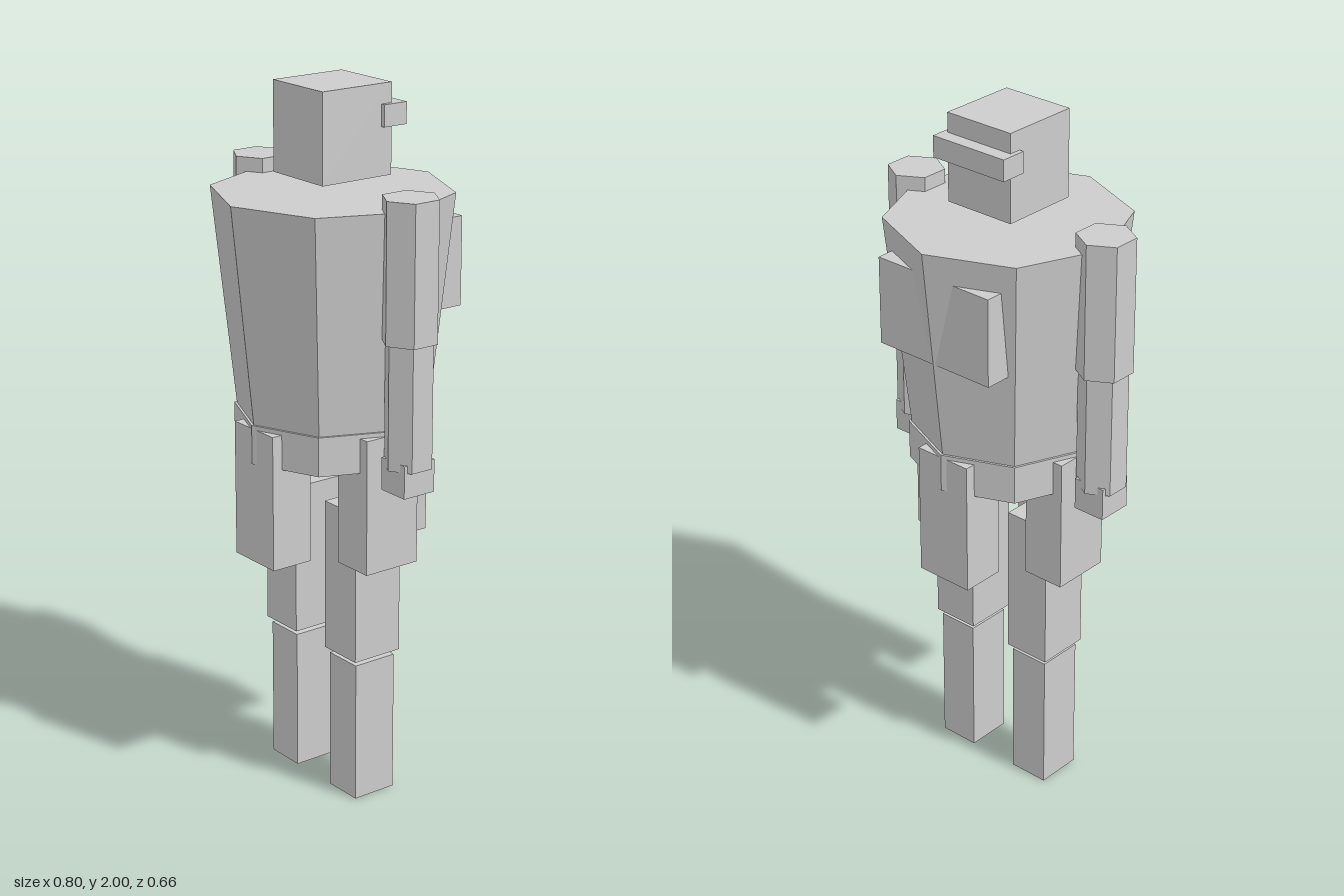
import * as THREE from 'three';

export function createModel() {
  const model = new THREE.Group();
  model.name = 'blockyRobot';
  const lightGrey = new THREE.MeshStandardMaterial({ color: 0xcccccc });
  lightGrey.name = 'lightGrey';

  function add(name, geometry, x, y, z) {
    const mesh = new THREE.Mesh(geometry, lightGrey);
    mesh.name = name;
    mesh.position.set(x, y, z);
    model.add(mesh);
    return mesh;
  }

  // Box given by its centre in x and z, its size, and its bottom and top heights
  function box(name, x, z, width, depth, bottom, top) {
    add(name, new THREE.BoxGeometry(width, top - bottom, depth), x, (bottom + top) / 2, z);
  }

  // Faceted prism with a corner pointing forward
  function prism(name, x, sides, topRadius, bottomRadius, bottom, top) {
    const faceted = new THREE.CylinderGeometry(topRadius, bottomRadius, top - bottom, sides).toNonIndexed();
    faceted.computeVertexNormals();
    add(name, faceted, x, (bottom + top) / 2, 0);
  }

  // Head with a band around its back
  box('head', 0, 0, 0.216, 0.228, 1.752, 2);
  box('headBand', 0, -0.117, 0.242, 0.075, 1.885, 1.945);

  // Tapered octagonal torso, waist and the pack let into the back
  prism('torso', 0, 8, 0.331, 0.265, 1.1, 1.71);
  prism('waist', 0, 8, 0.272, 0.272, 0.99, 1.1);
  box('backPack', 0, -0.222, 0.382, 0.142, 1.38, 1.63);

  // Four hanging skirt plates
  for (const side of [-1, 1]) {
    box(side > 0 ? 'frontSkirtPlate' : 'backSkirtPlate', 0, side * 0.203, 0.174, 0.126, 0.705, 1.088);
    box(side > 0 ? 'leftSkirtPlate' : 'rightSkirtPlate', side * 0.203, 0, 0.126, 0.174, 0.705, 1.088);
  }

  // Arms and legs, mirrored
  for (const [label, side] of [['left', 1], ['right', -1]]) {
    const armX = side * 0.331;
    prism(label + 'UpperArm', armX, 6, 0.079, 0.079, 1.365, 1.75);
    prism(label + 'Forearm', armX, 6, 0.068, 0.068, 1.02, 1.365);
    box(label + 'Hand', armX, 0, 0.096, 0.102, 0.95, 1.042);

    const legX = side * 0.136;
    box(label + 'Thigh', legX, 0, 0.138, 0.154, 0.424, 0.86);
    box(label + 'Shin', legX, 0, 0.118, 0.134, 0, 0.408);
  }
  return model;
}
